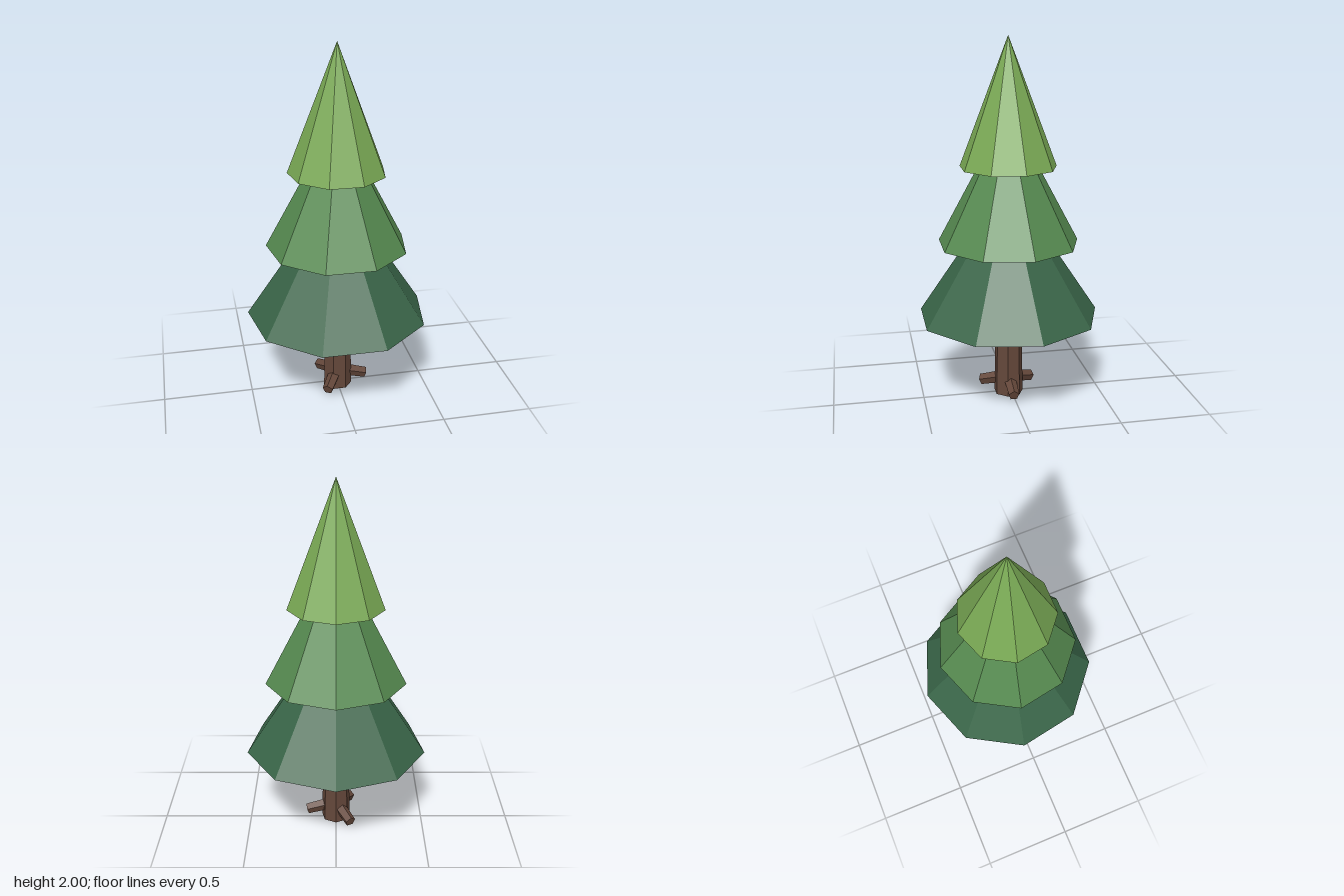
import * as THREE from 'three';

const CENTRE_Z = 0.014;

function material(color) {
  return new THREE.MeshStandardMaterial({ color, flatShading: true });
}

export function createModel() {
  const tree = new THREE.Group();
  tree.name = 'pineTree';

  const add = (name, geometry, mat) => {
    const mesh = new THREE.Mesh(geometry, mat);
    mesh.name = name;
    tree.add(mesh);
    return mesh;
  };

  // Foliage: three stacked nine-sided cones, one corner facing the back
  const tiers = [
    { name: 'lowerFoliage', radius: 0.505, base: 0.47, height: 0.76, color: 0x3a6649 },
    { name: 'middleFoliage', radius: 0.391, base: 0.885, height: 0.73, color: 0x568a50 },
    { name: 'upperFoliage', radius: 0.267, base: 1.305, height: 0.695, color: 0x7aaa55 },
  ];
  for (const { name, radius, base, height, color } of tiers) {
    const cone = add(name, new THREE.ConeGeometry(radius, height, 9), material(color));
    cone.position.set(0, base + height / 2, CENTRE_Z);
    cone.rotation.y = Math.PI;
  }

  // Trunk: slightly tapered, seven-sided
  const bark = material(0x64473a);
  const trunk = add('trunk', new THREE.CylinderGeometry(0.073, 0.083, 0.5, 7), bark);
  trunk.position.set(0, 0.25, CENTRE_Z);
  trunk.rotation.y = Math.PI;

  // Roots: three five-sided stubs sloping down and outward
  const slope = 0.28;
  const length = 0.15;
  const rootGeometry = new THREE.CylinderGeometry(0.031, 0.036, length, 5);
  rootGeometry.rotateY(-Math.PI / 2); // a corner points up once laid down
  rootGeometry.translate(0, length / 2, 0);
  rootGeometry.rotateZ(-Math.PI / 2 - slope);
  rootGeometry.translate(0.022, 0.087, 0);
  for (let i = 0; i < 3; i++) {
    const root = add('root' + (i + 1), rootGeometry, bark);
    root.position.z = CENTRE_Z;
    root.rotation.y = (i * Math.PI * 2) / 3;
  }

  return tree;
}
